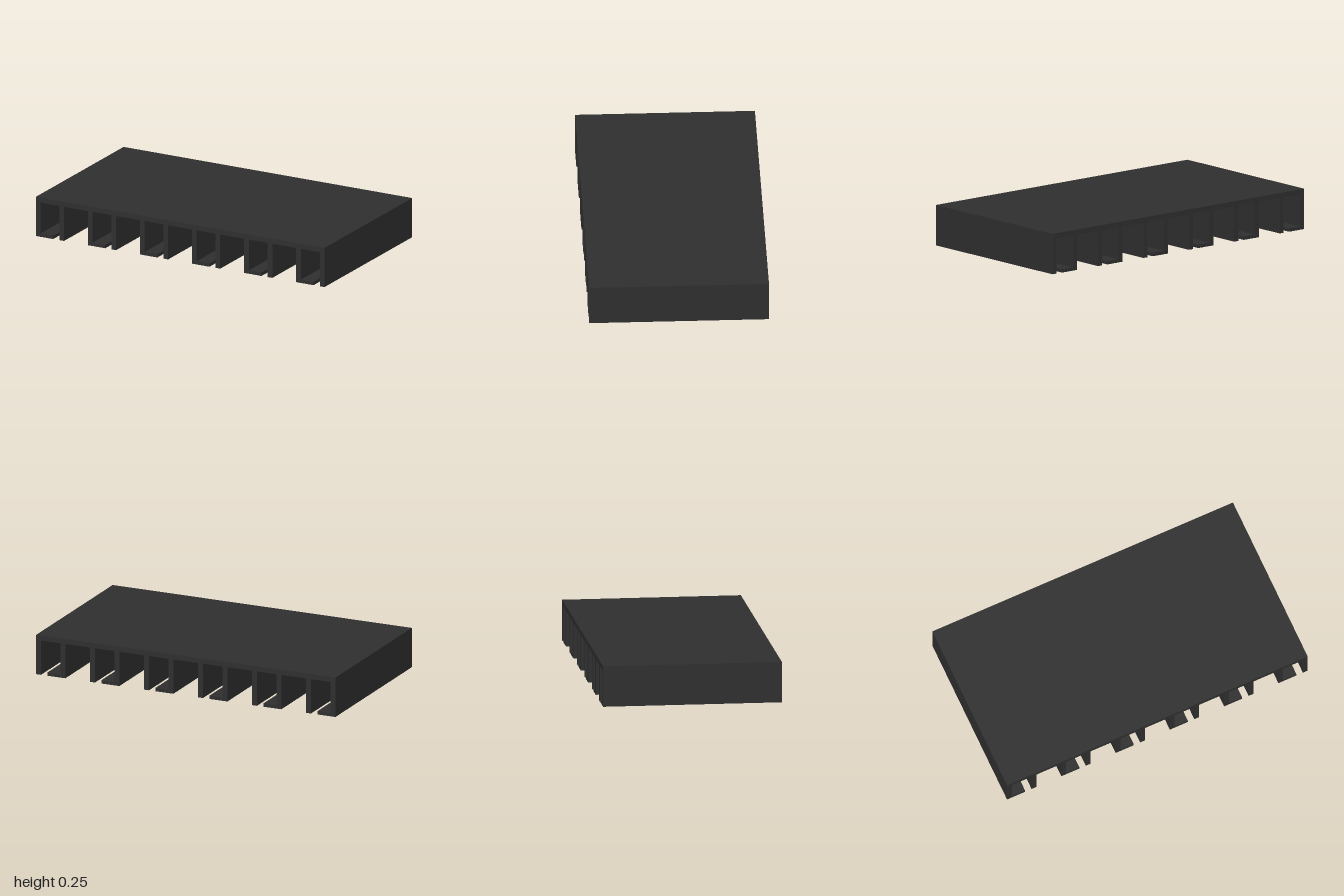
import * as THREE from 'three';

const WIDTH = 2, HEIGHT = 0.25, DEPTH = 1.09;
const WALL = 0.032, LIP_WIDTH = 0.12, LIP_HEIGHT = 0.021;
const CHANNELS = 6, CHANNEL_WIDTH = 0.195;

export function createModel() {
  const model = new THREE.Group();
  model.name = 'channelPanel';
  const charcoal = new THREE.MeshStandardMaterial({ color: 0x2f2f2f });
  charcoal.name = 'charcoal';

  // Full-depth bar given by its cross-section corners
  function addBar(parent, name, x0, x1, y0, y1) {
    const bar = new THREE.Mesh(new THREE.BoxGeometry(x1 - x0, y1 - y0, DEPTH), charcoal);
    bar.position.set((x0 + x1) / 2, (y0 + y1) / 2, 0);
    bar.name = name;
    parent.add(bar);
  }

  // Flat deck
  const deckBottom = HEIGHT - WALL;
  addBar(model, 'deck', -WIDTH / 2, WIDTH / 2, deckBottom, HEIGHT);

  // Evenly spaced channels, each with two walls and a bottom lip leaving a slot
  const pitch = (WIDTH - CHANNEL_WIDTH) / (CHANNELS - 1);
  for (let i = 0; i < CHANNELS; i++) {
    const channel = new THREE.Group();
    channel.name = `channel${i + 1}`;
    channel.position.x = -WIDTH / 2 + i * pitch;
    addBar(channel, 'lippedWall', 0, WALL, 0, deckBottom);
    addBar(channel, 'bottomLip', WALL, LIP_WIDTH, 0, LIP_HEIGHT);
    addBar(channel, 'plainWall', CHANNEL_WIDTH - WALL, CHANNEL_WIDTH, 0, deckBottom);
    model.add(channel);
  }
  return model;
}
